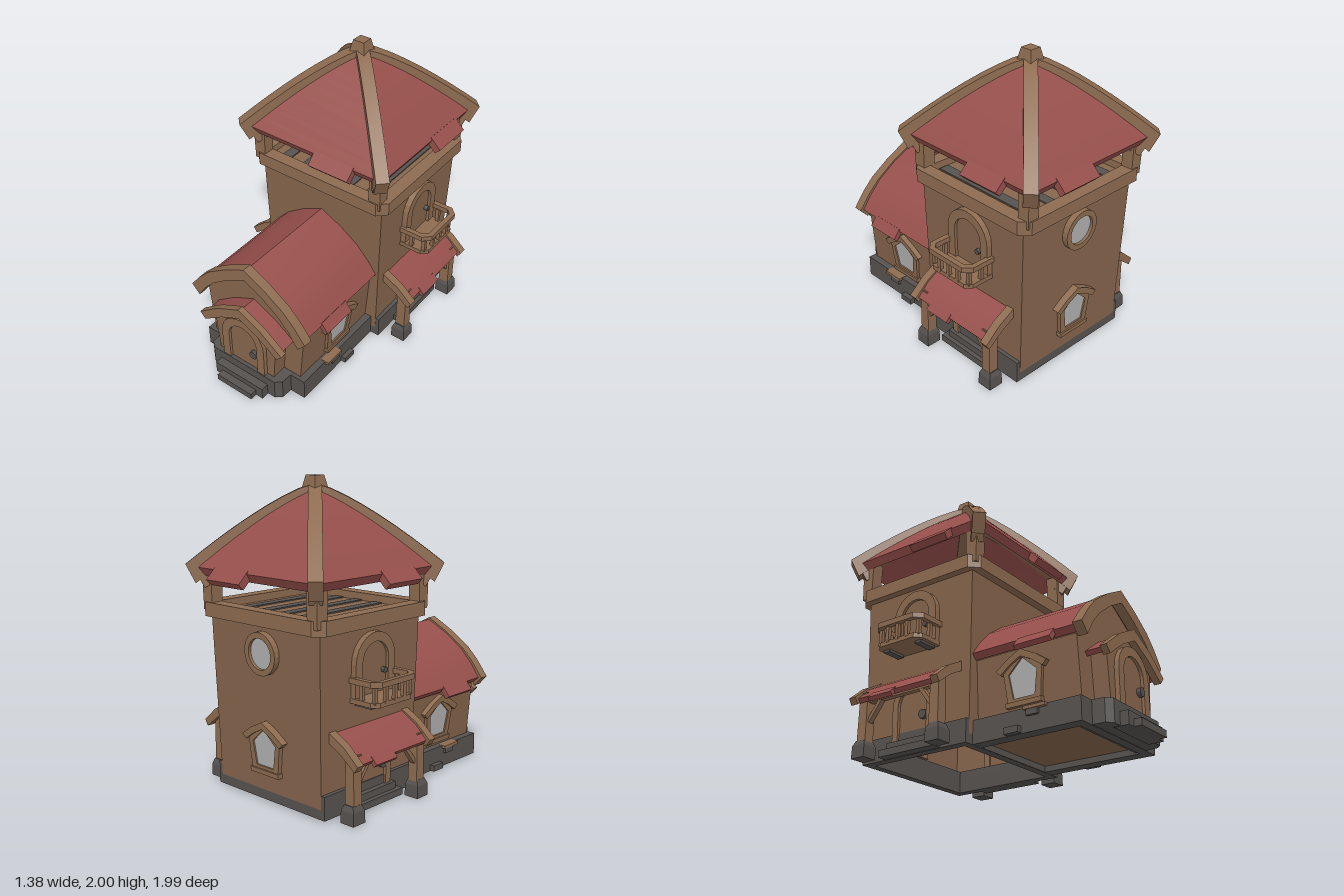
import * as THREE from 'three';
import { toCreasedNormals } from 'three/addons/utils/BufferGeometryUtils.js';

const mat = (name, color, side = THREE.FrontSide) => {
  const m = new THREE.MeshStandardMaterial({ color, side });
  m.name = name;
  return m;
};

export function createModel() {
  const root = new THREE.Group();
  root.name = 'towerHouse';
  const wall = mat('wallBrown', 0x86654c, THREE.DoubleSide), wood = mat('woodBrown', 0x8d6b50);
  const red = mat('roofRed', 0x964f4b, THREE.DoubleSide);
  const stone = mat('stoneGrey', 0x56524f), glass = mat('windowGrey', 0xb2b2b2);
  const CZ = -0.39; // tower centre

  const add = (parent, name, geo, m, x = 0, y = 0, z = 0) => {
    const mesh = new THREE.Mesh(geo, m);
    mesh.name = name;
    mesh.position.set(x, y, z);
    parent.add(mesh);
    return mesh;
  };
  const box = (p, name, m, w, h, d, x, y, z) => add(p, name, new THREE.BoxGeometry(w, h, d), m, x, y, z);
  const group = (p, name, x = 0, y = 0, z = 0, ry = 0, tilt = 0) => {
    const g = new THREE.Group();
    g.name = name;
    g.position.set(x, y, z);
    g.rotation.set(tilt, ry, 0, 'YXZ');
    p.add(g);
    return g;
  };
  // box standing on y0 whose bottom and top half sizes differ
  const taper = (bottom, top, y0, y1) => {
    const g = new THREE.BoxGeometry(2, 1, 2), a = g.attributes.position;
    for (let i = 0; i < a.count; i++) {
      const up = a.getY(i) > 0, half = up ? top : bottom;
      a.setXYZ(i, a.getX(i) * half, up ? y1 : y0, a.getZ(i) * half);
    }
    g.computeVertexNormals();
    return g;
  };
  const shapeOf = pts => new THREE.Shape(pts.map(([x, y]) => new THREE.Vector2(x, y)));
  const ext = (s, depth) => new THREE.ExtrudeGeometry(Array.isArray(s) ? shapeOf(s) : s,
    { depth, bevelEnabled: false, curveSegments: 12 });
  const mirror = pts => [...pts, ...pts.slice().reverse().filter(p => p[0] !== 0).map(([x, y]) => [-x, y])];
  const withHole = (outer, inner) => { const s = shapeOf(outer); s.holes.push(shapeOf(inner)); return s; };
  const rect = (hx, z0, z1) => [[-hx, z0], [hx, z0], [hx, z1], [-hx, z1]];
  // plan outline (x, z) extruded downwards from y
  const plan = (s, h) => ext(s, h).rotateX(Math.PI / 2);
  // gabled band: outer and inner lines run from the ridge to the eave
  const gable = (outer, inner, depth) => {
    const flip = l => l.slice(1).map(([x, y]) => [-x, y]);
    return toCreasedNormals(ext([...flip(outer).reverse(), ...outer, ...inner.slice().reverse(), ...flip(inner)], depth), 0.5);
  };
  const arch = (w, h) => {
    const pts = [[-w, 0], [w, 0]];
    for (let i = 0; i <= 12; i++) pts.push([w * Math.cos(i * Math.PI / 12), h - w + w * Math.sin(i * Math.PI / 12)]);
    return pts;
  };

  // reusable openings, facing local +z
  const door = (p, name, w, h, frame, knob, y, z, tilt = 0) => {
    const g = group(p, name, 0, y, z, 0, tilt);
    add(g, 'doorFrame', ext(withHole(arch(w + frame, h + frame), arch(w, h)), 0.06), wood, 0, 0, -0.02);
    add(g, 'doorLeaf', ext(arch(w, h), 0.03), wall, 0, 0, -0.01);
    add(g, 'doorKnob', new THREE.CylinderGeometry(knob, knob, 0.03, 10).rotateX(Math.PI / 2), stone, w * 0.75, h * 0.43, 0.03);
  };
  const houseWindow = (p, name, x, y, z, ry, tilt) => {
    const g = group(p, name, x, y, z, ry, tilt);
    const pane = mirror([[0.075, -0.12], [0.1, 0.03], [0, 0.12]]);
    add(g, 'windowFrame', ext(withHole(mirror([[0.115, -0.155], [0.14, 0.07], [0, 0.15]]), pane), 0.035), wood, 0, 0, -0.005);
    add(g, 'windowPane', ext(pane, 0.008), glass, 0, 0, 0.012);
    add(g, 'windowHood', gable([[0, 0.17], [0.1, 0.12], [0.18, 0.065]], [[0, 0.125], [0.08, 0.085], [0.15, 0.035]], 0.05), wood, 0, 0, -0.005);
    box(g, 'windowSill', wood, 0.25, 0.03, 0.05, 0, -0.155, 0.015);
  };

  // stone foundations, open inside
  const base = group(root, 'foundation');
  add(base, 'towerFoundation', plan(withHole(rect(0.48, -0.805, 0.025), rect(0.42, -0.75, -0.03)), 0.15), stone, 0, 0.16);
  add(base, 'houseFoundation', plan(withHole(rect(0.415, 0, 0.78), rect(0.33, 0.03, 0.72)), 0.148), stone, 0, 0.159);
  add(base, 'porchFoundation', plan([[-0.31, 0.7], [0.31, 0.7], [0.3, 0.86], [0.26, 0.895], [-0.26, 0.895], [-0.3, 0.86]], 0.145), stone, 0, 0.16);
  box(base, 'upperStep', stone, 0.4, 0.085, 0.1, 0, 0.055, 0.9);
  box(base, 'lowerStep', stone, 0.29, 0.045, 0.1, 0, 0.035, 0.95);

  // tower shell, belt and open top floor
  const tower = group(root, 'tower', 0, 0, CZ);
  const shell = new THREE.CylinderGeometry(0.48 * Math.SQRT2, 0.45 * Math.SQRT2, 1.14, 4, 1, true);
  shell.rotateY(Math.PI / 4).scale(1, 1, 0.92);
  add(tower, 'towerWalls', toCreasedNormals(shell, 0.5), wall, 0, 0.6);
  box(tower, 'towerFloor', wall, 0.94, 0.02, 0.87, 0, 1.16, 0);
  const c = 0.06;
  const belt = [[-0.53 + c, -0.5], [0.53 - c, -0.5], [0.53, -0.5 + c], [0.53, 0.5 - c], [0.53 - c, 0.5], [-0.53 + c, 0.5], [-0.53, 0.5 - c], [-0.53, -0.5 + c]];
  add(tower, 'towerBelt', plan(withHole(belt, rect(0.44, -0.41, 0.41)), 0.09), wood, 0, 1.22);
  for (let i = -2; i <= 2; i++) box(tower, 'floorStrip', stone, 0.07, 0.008, 0.8, i * 0.17, 1.174, 0);

  // pavilion roof: thick curved panels, hip beams, posts and eave tabs
  const roof = group(root, 'towerRoof', -0.008, 0, CZ);
  const outer = [], inner = [];
  for (let i = 0; i <= 10; i++) {
    const s = Math.max(i / 10, 0.001), drop = s ** 1.3;
    outer.push(new THREE.Vector2(0.54 * Math.SQRT2 * s, 1.925 - 0.485 * drop));
    inner.push(new THREE.Vector2(0.51 * Math.SQRT2 * s, 1.875 - 0.487 * drop));
  }
  const skin = new THREE.LatheGeometry([...inner, ...outer.reverse()], 4).rotateY(Math.PI / 4);
  add(roof, 'roofPanels', toCreasedNormals(skin, 0.5), red);
  const top = [], low = [];
  for (let i = 0; i <= 8; i++) {
    const s = i / 8, y = 1.95 - 0.49 * s ** 1.3;
    top.push([0.8 * s, y]);
    low.push([0.74 * s, y - 0.12]);
  }
  const beam = toCreasedNormals(ext([...low, ...top.slice().reverse()], 0.085), 0.5);
  for (let k = 0; k < 4; k++) {
    const hip = group(roof, 'hip', 0, 0, 0, Math.PI / 4 + k * Math.PI / 2);
    add(hip, 'hipBeam', beam, wood, 0, 0, -0.0425);
    const sx = k % 2 ? 1 : -1, sz = k < 2 ? 1 : -1;
    add(roof, 'roofPost', taper(0.04, 0.045, 1.17, 1.44), wood, sx * 0.46, 0, sz * 0.45);
    const brace = group(roof, 'postBrace', sx * 0.485, 1.385, sz * 0.485, Math.atan2(sx, sz), 0.5);
    box(brace, 'brace', wood, 0.08, 0.13, 0.07, 0, 0, 0);
  }
  // [turn, offset along the eave]
  for (const [ry, off] of [[0, 0.178], [Math.PI, -0.178], [Math.PI / 2, 0.18], [-Math.PI / 2, 0.16]]) {
    const side = group(roof, 'eaveTab', 0, 0, 0, ry);
    box(side, 'eaveTabPlate', red, 0.3, 0.05, 0.1, off, 1.403, 0.55).rotation.x = 0.78;
  }
  add(roof, 'finial', taper(0.062, 0.04, 1.9, 2), wood);

  // round window and house-shaped window at the back
  const back = group(root, 'roundWindow', 0, 0.955, CZ - 0.435, Math.PI, 0.04);
  const ring = new THREE.Shape().absarc(0, 0, 0.135, 0, Math.PI * 2);
  ring.holes.push(new THREE.Path().absarc(0, 0, 0.098, 0, Math.PI * 2));
  add(back, 'roundFrame', ext(ring, 0.06), wood, 0, 0, -0.02);
  add(back, 'roundPane', new THREE.CircleGeometry(0.1, 24), glass, 0, 0, 0.02);
  houseWindow(root, 'backWindow', 0, 0.36, CZ - 0.421, Math.PI, 0.04);

  // front house with curved gable roof
  const house = group(root, 'frontHouse');
  add(house, 'houseWalls', ext(mirror([[0.355, 0.05], [0.4, 0.54], [0.27, 0.73], [0, 0.89]]), 0.755), wall);
  add(house, 'houseRoof', gable([[0, 0.93], [0.16, 0.85], [0.29, 0.76], [0.38, 0.665], [0.445, 0.575]],
    [[0, 0.89], [0.15, 0.81], [0.265, 0.73], [0.35, 0.63], [0.41, 0.54]], 0.79), red);
  add(house, 'gableBoard', gable([[0, 0.945], [0.16, 0.862], [0.305, 0.765], [0.39, 0.68], [0.47, 0.575]],
    [[0, 0.86], [0.14, 0.785], [0.27, 0.69], [0.345, 0.61], [0.41, 0.51]], 0.065), wood, 0, 0, 0.77);
  for (const s of [1, -1]) {
    box(house, 'houseEaveTab', red, 0.08, 0.035, 0.255, s * 0.452, 0.547, 0.5).rotation.z = -s * 0.9;
    houseWindow(house, 'houseWindow', s * 0.374, 0.36, 0.38, s * Math.PI / 2, 0.09);
    box(house, 'wallStone', stone, 0.06, 0.04, 0.1, s * 0.42, 0.035, 0.325);
    box(house, 'ledgeBracket', stone, 0.05, 0.04, 0.08, s * 0.41, 0.125, 0.46);
    box(house, 'ledge', wood, 0.06, 0.02, 0.15, s * 0.41, 0.151, 0.48);
  }

  // entrance porch
  const porch = group(root, 'porch');
  add(porch, 'porchWalls', ext(mirror([[0.225, 0.1], [0.255, 0.46], [0.15, 0.53], [0, 0.61]]), 0.16), wall, 0, 0, 0.7);
  add(porch, 'porchRoof', gable([[0, 0.645], [0.17, 0.56], [0.315, 0.455]], [[0, 0.61], [0.155, 0.525], [0.295, 0.43]], 0.13), red, 0, 0, 0.74);
  add(porch, 'porchGableBoard', gable([[0, 0.665], [0.18, 0.575], [0.34, 0.455]], [[0, 0.59], [0.15, 0.515], [0.3, 0.41]], 0.045), wood, 0, 0, 0.865);
  door(porch, 'frontDoor', 0.115, 0.34, 0.06, 0.03, 0.15, 0.85);

  // each flank: balcony with arched door, awning on posts, side door and steps
  for (const s of [1, -1]) {
    const side = group(root, s > 0 ? 'leftFlank' : 'rightFlank', 0, 0, CZ, s * Math.PI / 2);
    door(side, 'balconyDoor', 0.115, 0.335, 0.06, 0.018, 0.7, 0.465, 0.03);
    door(side, 'sideDoor', 0.115, 0.34, 0.045, 0.03, 0.1, 0.453, 0.03);

    const balcony = group(side, 'balcony');
    add(balcony, 'balconyFloor', plan([[-0.18, 0.44], [0.18, 0.44], [0.18, 0.63], [0.14, 0.67], [-0.14, 0.67], [-0.18, 0.63]], 0.03), wood, 0, 0.71);
    const rail = [[-0.195, 0.46], [-0.195, 0.64], [-0.145, 0.69], [0.145, 0.69], [0.195, 0.64], [0.195, 0.46],
      [0.16, 0.46], [0.16, 0.625], [0.13, 0.655], [-0.13, 0.655], [-0.16, 0.625], [-0.16, 0.46]];
    add(balcony, 'balconyRail', plan(rail, 0.035), wood, 0, 0.84);
    for (const [x, z] of [[-0.165, 0.55], [-0.155, 0.64], [-0.08, 0.66], [0, 0.66], [0.08, 0.66], [0.155, 0.64], [0.165, 0.55]])
      box(balcony, 'baluster', wood, 0.025, 0.11, 0.025, x, 0.755, z);
    for (const x of [-0.13, 0.13]) box(balcony, 'balconyBracket', stone, 0.05, 0.02, 0.13, x, 0.673, 0.55);

    const awning = group(side, 'awning');
    const slope = (pts, w) => toCreasedNormals(ext(pts, w), 0.5).translate(0, 0, -w / 2).rotateY(-Math.PI / 2);
    add(awning, 'awningRoof', slope([[0.44, 0.49], [0.57, 0.425], [0.645, 0.35], [0.665, 0.375], [0.58, 0.46], [0.44, 0.54]], 0.62), red);
    box(awning, 'awningTab', red, 0.19, 0.03, 0.06, -0.1, 0.364, 0.66).rotation.x = 0.8;
    for (const e of [-1, 1]) {
      add(awning, 'awningBeam', slope([[0.44, 0.485], [0.56, 0.42], [0.665, 0.34], [0.69, 0.38], [0.58, 0.475], [0.44, 0.55]], 0.055), wood, e * 0.33);
      add(awning, 'awningPost', taper(0.035, 0.033, 0.09, 0.42), wood, e * 0.29, 0, 0.595);
      add(awning, 'postBase', taper(0.052, 0.05, 0, 0.08), stone, e * 0.295, 0, 0.595);
      add(awning, 'postCollar', taper(0.05, 0.036, 0.08, 0.115), stone, e * 0.295, 0, 0.595);
      box(awning, 'kneeBrace', wood, 0.025, 0.17, 0.035, e * 0.21, 0.3, 0.595).rotation.z = e * 0.65;
    }
    box(awning, 'awningCrossbeam', wood, 0.6, 0.03, 0.04, 0, 0.37, 0.595);
    box(side, 'sideLowerStep', stone, 0.44, 0.045, 0.12, 0, 0.035, 0.485);
    box(side, 'sideUpperStep', stone, 0.37, 0.045, 0.09, 0, 0.08, 0.47);
  }
  return root;
}
